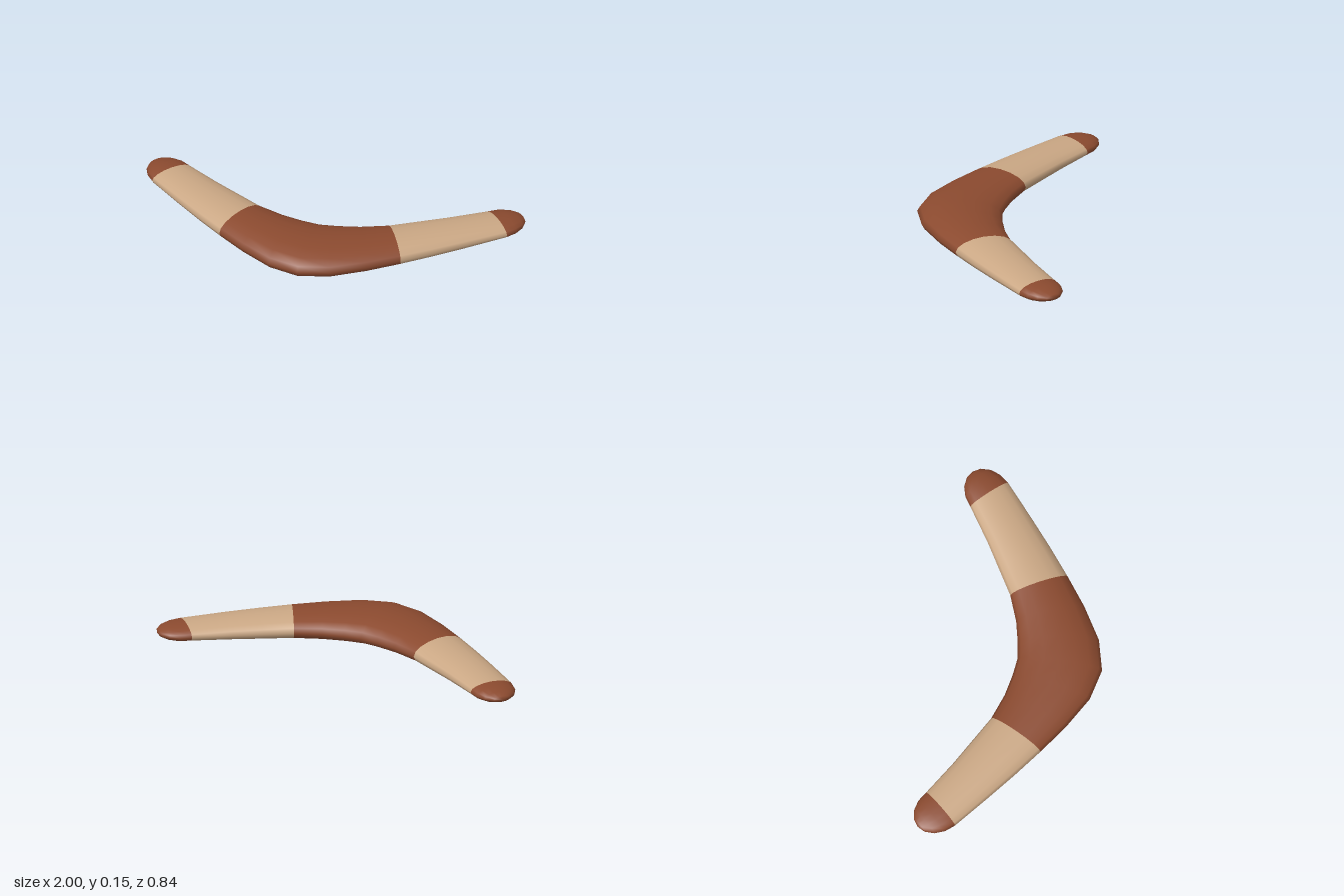
import * as THREE from 'three';
import { mergeVertices } from 'three/addons/utils/BufferGeometryUtils.js';

const SIDES = 16;
const MID_Y = 0.075;

// Half of the outline, middle to tip: outer x, z, inner x, z, half thickness
const STATIONS = [
  [0, 0.413, 0, -0.025, 0.075],
  [0.163, 0.373, 0.093, -0.037, 0.0725],
  [0.332, 0.273, 0.203, -0.061, 0.068],
  [0.482, 0.165, 0.338, -0.111, 0.063],
  [0.622, 0.057, 0.474, -0.19, 0.0575],
  [0.765, -0.06, 0.61, -0.269, 0.051],
  [0.943, -0.21, 0.787, -0.383, 0.0405],
];
const BAND_START = 3; // station where the pale band begins
const BAND_END = 6;   // station where the tip begins
const TIP_LENGTH = 0.152;
const TIP_STEPS = 4;

// Cross-sections of one arm: centre, outward direction times half width, half thickness
function armSections() {
  const sections = STATIONS.map(([ox, oz, ix, iz, h]) => ({
    x: (ox + ix) / 2, z: (oz + iz) / 2,
    ux: (ox - ix) / 2, uz: (oz - iz) / 2, h,
  }));
  // Rounded end cap
  const base = sections[sections.length - 1];
  const width = Math.hypot(base.ux, base.uz);
  for (let i = 1; i <= TIP_STEPS; i++) {
    const a = (i / TIP_STEPS) * Math.PI / 2;
    const c = i === TIP_STEPS ? 0 : Math.cos(a);
    const d = TIP_LENGTH * Math.sin(a) / width;
    sections.push({
      x: base.x + base.uz * d, z: base.z - base.ux * d,
      ux: base.ux * c, uz: base.uz * c, h: base.h * c,
    });
  }
  return sections;
}

export function createModel() {
  const wood = new THREE.MeshStandardMaterial({ color: 0x8b4a2f });
  wood.name = 'reddish brown wood';
  const band = new THREE.MeshStandardMaterial({ color: 0xcaa784 });
  band.name = 'pale tan band';

  // Mirror the arm to get sections from the right tip to the left tip
  const arm = armSections();
  const mirrored = arm.slice(1).reverse().map((s) => ({ ...s, x: -s.x, ux: -s.ux }));
  const sections = [...mirrored, ...arm];
  const middle = arm.length - 1;

  const positions = [];
  for (const s of sections) {
    for (let j = 0; j < SIDES; j++) {
      const a = (j / SIDES) * Math.PI * 2;
      const c = Math.cos(a);
      positions.push(s.x + s.ux * c, MID_Y + s.h * Math.sin(a), s.z + s.uz * c);
    }
  }

  // Skin between neighbouring sections, one colour group per strip
  const indices = [];
  let geometry = new THREE.BufferGeometry();
  for (let i = 0; i < sections.length - 1; i++) {
    const start = indices.length;
    for (let j = 0; j < SIDES; j++) {
      const k = (j + 1) % SIDES;
      const a = i * SIDES + j, b = i * SIDES + k;
      const c = a + SIDES, d = b + SIDES;
      if (i > 0) indices.push(a, c, b);
      if (i < sections.length - 2) indices.push(b, c, d);
      else indices.splice(indices.length - 3, 3, a, c, b);
    }
    const fromMiddle = Math.abs(i + 0.5 - middle);
    const pale = fromMiddle > BAND_START && fromMiddle < BAND_END;
    geometry.addGroup(start, indices.length - start, pale ? 1 : 0);
  }
  geometry.setAttribute('position', new THREE.Float32BufferAttribute(positions, 3));
  geometry.setIndex(indices);
  geometry = mergeVertices(geometry, 1e-5); // closes the tips for smooth normals
  geometry.computeVertexNormals();

  const blade = new THREE.Mesh(geometry, [wood, band]);
  blade.name = 'curvedBlade';

  const model = new THREE.Group();
  model.name = 'boomerang';
  model.add(blade);
  return model;
}
